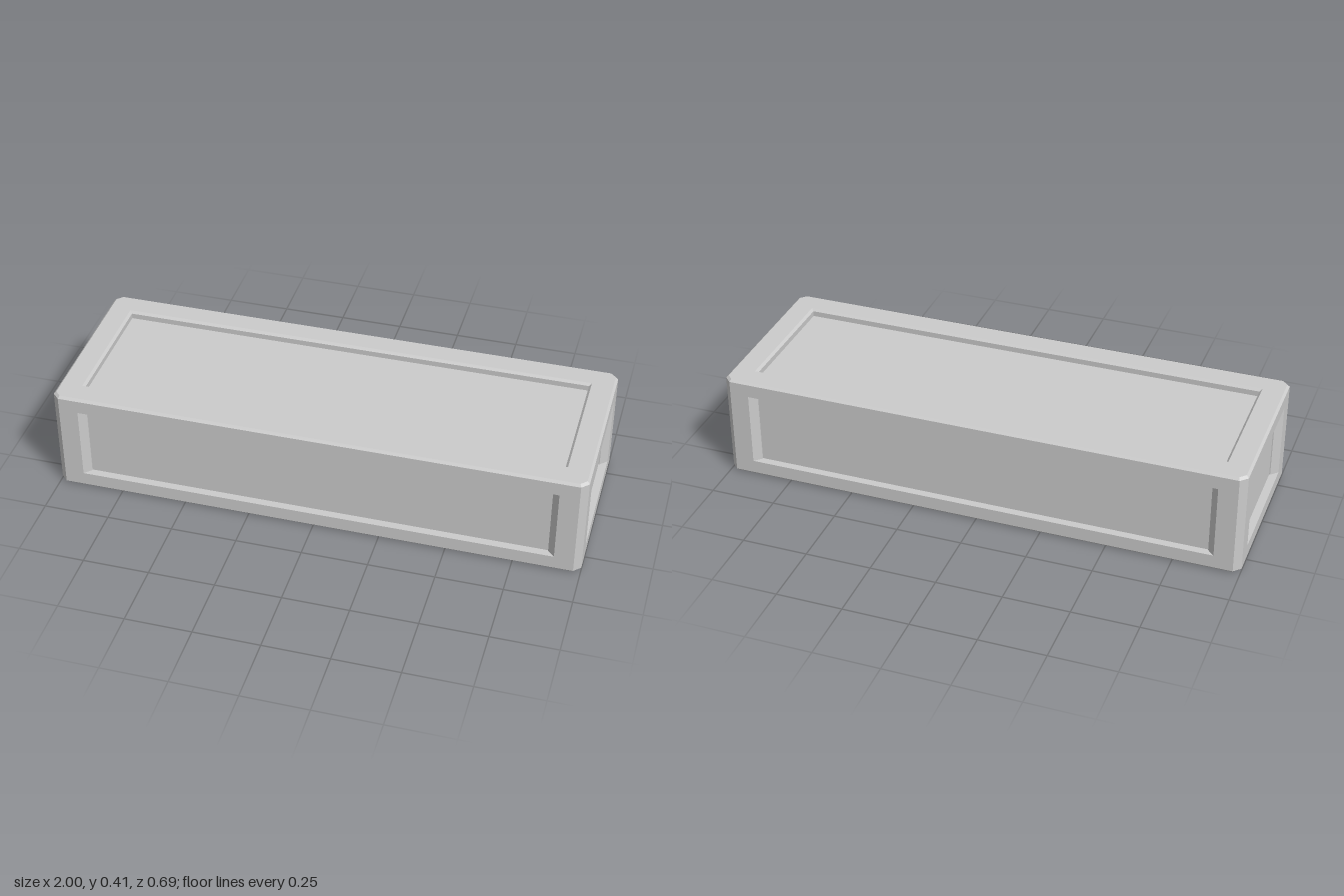
import * as THREE from 'three';

const X = 1, Z = 0.347, H = 0.406;      // half length, half depth, height
const RAIL_H = 0.06, RAIL_W = 0.098;    // frame rail section
const POST = 0.125, CUT = 0.026;        // corner post width and chamfer
const BEVEL = 0.009;                    // small bevel on rail edges
const DEPTH = 0.03, THICK = 0.02;       // panel recess and thickness

const material = new THREE.MeshStandardMaterial({ color: 0xcccccc, flatShading: true });

function addMesh(parent, name, geometry, x = 0, y = 0, z = 0) {
  const mesh = new THREE.Mesh(geometry, material);
  mesh.name = name;
  mesh.position.set(x, y, z);
  parent.add(mesh);
  return mesh;
}

// Rectangle with cut corners, seen from above
function cutRect(hx, hz, cut) {
  return [
    [hx, hz - cut], [hx, -hz + cut], [hx - cut, -hz], [-hx + cut, -hz],
    [-hx, -hz + cut], [-hx, hz - cut], [-hx + cut, hz], [hx - cut, hz],
  ];
}

// Closed rectangular ring: a rail section swept round the outline, bevelled at its upper edges
function railRing() {
  const section = [ // inset, height, corner cut
    [0, 0, CUT], [0, RAIL_H - BEVEL, CUT], [BEVEL, RAIL_H, CUT - BEVEL * 0.5],
    [RAIL_W - BEVEL, RAIL_H, 0], [RAIL_W, RAIL_H - BEVEL, 0], [RAIL_W, 0, 0],
  ];
  const loops = section.map(([inset, y, cut]) =>
    cutRect(X - inset, Z - inset, cut).map(([x, z]) => new THREE.Vector3(x, y, z)));
  const positions = [];
  const triangle = (a, b, c) => {
    const area = b.clone().sub(a).cross(c.clone().sub(a)).length();
    if (area > 1e-9) for (const p of [a, b, c]) positions.push(p.x, p.y, p.z);
  };
  loops.forEach((lower, i) => {
    const upper = loops[(i + 1) % loops.length];
    for (let j = 0; j < 8; j++) {
      const k = (j + 1) % 8;
      triangle(lower[j], lower[k], upper[k]);
      triangle(lower[j], upper[k], upper[j]);
    }
  });
  const geometry = new THREE.BufferGeometry();
  geometry.setAttribute('position', new THREE.Float32BufferAttribute(positions, 3));
  geometry.computeVertexNormals();
  return geometry;
}

// Upright post with four chamfered edges
function postGeometry(height) {
  const outline = cutRect(POST / 2, POST / 2, CUT).map(([x, z]) => new THREE.Vector2(x, z));
  const geometry = new THREE.ExtrudeGeometry(new THREE.Shape(outline), { depth: height, bevelEnabled: false });
  return geometry.rotateX(-Math.PI / 2);
}

export function createModel() {
  const model = new THREE.Group();
  model.name = 'panelledBox';

  // Top and bottom frames
  const ring = railRing();
  addMesh(model, 'topFrame', ring, 0, H - RAIL_H, 0);
  addMesh(model, 'bottomFrame', ring, 0, RAIL_H, 0).rotation.x = Math.PI;

  // Corner posts
  const post = postGeometry(H - 2 * RAIL_H);
  for (const sx of [-1, 1]) {
    for (const sz of [-1, 1]) {
      addMesh(model, 'cornerPost', post, sx * (X - POST / 2), RAIL_H, sz * (Z - POST / 2));
    }
  }

  // Recessed side panels, tucked into the rails
  const panelH = H - RAIL_H * 1.4;
  const longPanel = new THREE.BoxGeometry(2 * X - POST, panelH, THICK);
  const endPanel = new THREE.BoxGeometry(THICK, panelH, 2 * Z - POST);
  const inset = DEPTH + THICK / 2;
  for (const s of [-1, 1]) {
    addMesh(model, s > 0 ? 'frontPanel' : 'backPanel', longPanel, 0, H / 2, s * (Z - inset));
    addMesh(model, s > 0 ? 'leftPanel' : 'rightPanel', endPanel, s * (X - inset), H / 2, 0);
  }

  // Recessed top panel; the underside stays open
  addMesh(model, 'topPanel',
    new THREE.BoxGeometry(2 * X - RAIL_W * 1.5, THICK, 2 * Z - RAIL_W * 1.5), 0, H - inset, 0);

  return model;
}
